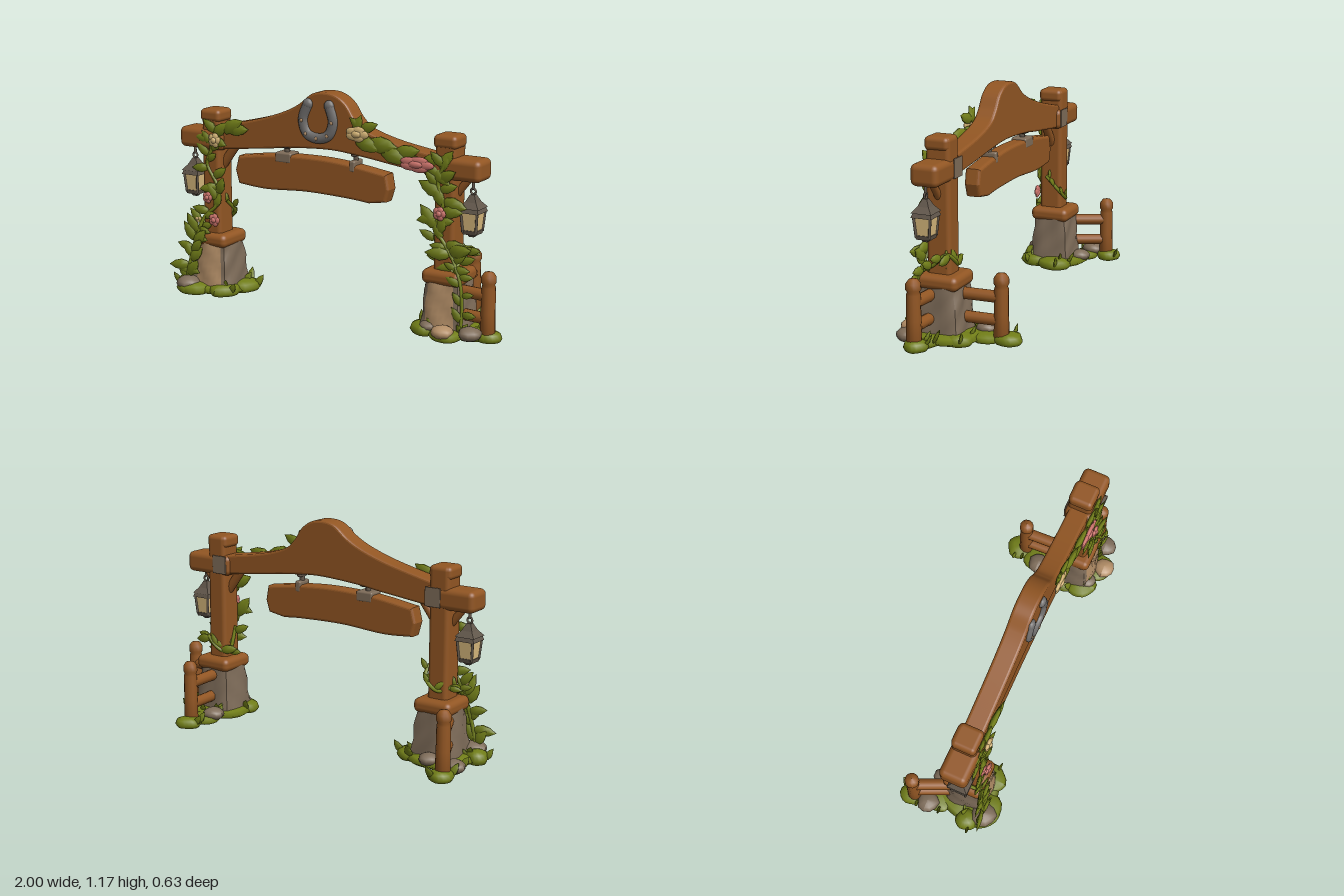
import * as THREE from 'three';
import { RoundedBoxGeometry } from 'three/addons/geometries/RoundedBoxGeometry.js';

const V = (x, y, z) => new THREE.Vector3(x, y, z);
const paint = (name, color) => {
  const m = new THREE.MeshStandardMaterial({ color });
  m.name = name;
  return m;
};

export function createModel() {
  const wood = paint('wood', 0x925623), leafGreen = paint('leaf green', 0x75821a);
  const grass = paint('grass', 0x717e18), stone = paint('stone', 0x7e6c59);
  const tan = paint('tan stone', 0xb38e67), iron = paint('iron', 0x706e6d);
  const dark = paint('lantern metal', 0x62574b), glow = paint('lantern pane', 0xdebe80);
  const pink = paint('pink petal', 0xcf756d), cream = paint('cream petal', 0xd4b476);

  const model = new THREE.Group();
  let seed = 7;
  const rnd = (a, b) => {
    seed = (seed * 16807) % 2147483647;
    return a + (b - a) * seed / 2147483647;
  };
  const group = (name, parent = model) => {
    const g = new THREE.Group();
    g.name = name;
    parent.add(g);
    return g;
  };
  const add = (name, geo, mat, x, y, z, parent = model) => {
    const m = new THREE.Mesh(geo, mat);
    m.name = name;
    m.position.set(x, y, z);
    parent.add(m);
    return m;
  };
  const block = (name, w, h, d, r, mat, x, y, z) =>
    add(name, new RoundedBoxGeometry(w, h, d, 3, r), mat, x, y, z);
  const rod = (name, a, b, r, mat, parent) => {
    const dir = b.clone().sub(a), mid = a.clone().add(b).multiplyScalar(0.5);
    const m = add(name, new THREE.CylinderGeometry(r, r, dir.length(), 12), mat, mid.x, mid.y, mid.z, parent);
    m.quaternion.setFromUnitVectors(V(0, 1, 0), dir.normalize());
  };
  const flat = pts => pts.map(p => new THREE.Vector2(...p));
  const lathe = (pts, n) => new THREE.LatheGeometry(flat(pts), n);

  // Arched beam with bevelled edges
  const arch = new THREE.Shape();
  arch.moveTo(0.7, 0.89);
  arch.splineThru(flat([[0.4, 0.935], [0.22, 0.985], [0.15, 1.04], [0.1, 1.11], [0.04, 1.15], [-0.03, 1.16],
    [-0.1, 1.145], [-0.18, 1.085], [-0.28, 1.035], [-0.45, 0.98], [-0.75, 0.91]]));
  arch.lineTo(-0.75, 0.81);
  arch.splineThru(flat([[-0.4, 0.85], [-0.25, 0.87], [0, 0.885], [0.2, 0.87], [0.4, 0.845], [0.7, 0.81]]));
  add('archedBeam', new THREE.ExtrudeGeometry(arch, {
    depth: 0.08, bevelThickness: 0.014, bevelSize: 0.012, bevelSegments: 3, curveSegments: 40,
  }), wood, 0, 0, 0.064);

  // Hanging board
  const board = new THREE.Shape();
  board.moveTo(-0.57, 0.64);
  board.splineThru(flat([[-0.4, 0.63], [-0.15, 0.645], [0.1, 0.64], [0.23, 0.63]]));
  board.lineTo(0.32, 0.645);
  board.lineTo(0.337, 0.7);
  board.lineTo(0.325, 0.765);
  board.splineThru(flat([[0.1, 0.795], [-0.1, 0.805], [-0.35, 0.795], [-0.57, 0.765]]));
  board.lineTo(-0.587, 0.7);
  add('hangingBoard', new THREE.ExtrudeGeometry(board, {
    depth: 0.05, bevelThickness: 0.018, bevelSize: 0.015, bevelSegments: 4, curveSegments: 16,
  }), wood, 0, 0, 0.075);
  // Board hangers: x, strap width, strap height
  for (const [x, w, h] of [[-0.29, 0.1, 0.055], [0.135, 0.035, 0.06]]) {
    rod('boardHanger', V(x, 0.79, 0.1), V(x, 0.89, 0.1), 0.014, dark);
    block('boardStrap', w, h, 0.09, 0.01, stone, x, 0.799, 0.1);
    block('beamStrap', w * 0.7, 0.02, 0.07, 0.008, dark, x, 0.858, 0.1);
  }

  // Horseshoe, open at the top, with pale studs
  const shoePts = [[-0.12, 1.105], [-0.15, 1.02], [-0.125, 0.95], [-0.06, 0.93], [0.005, 0.95], [0.033, 1.02], [0.01, 1.105]];
  const shoe = group('horseshoe');
  shoe.position.z = 0.16;
  shoe.scale.z = 0.7;
  add('shoeBar', new THREE.TubeGeometry(
    new THREE.CatmullRomCurve3(shoePts.map(p => V(p[0], p[1], 0))), 32, 0.028, 10), iron, 0, 0, 0, shoe);
  for (const i of [0, 6]) add('shoeEnd', new THREE.SphereGeometry(0.03, 10, 8), iron, ...shoePts[i], 0, shoe);
  for (const i of [1, 2, 3, 4, 5]) add('nailStud', new THREE.SphereGeometry(0.01, 6, 5), tan, ...shoePts[i], 0.025, shoe);

  // Bumpy tapered stone plinth with a lighter middle on the front
  const plinth = (x) => {
    const n = 8, g = new THREE.BoxGeometry(1, 1, 1, n, n, n), p = g.attributes.position;
    for (let i = 0; i < p.count; i++) {
      const a = p.getX(i), b = p.getY(i), c = p.getZ(i);
      const k = 0.228 - 0.05 * b - 0.16 * Math.max(0, Math.hypot(a, c) - 0.52)
        + 0.014 * Math.sin(9 * a + 7 * b + x) * Math.cos(8 * c + 5 * b);
      p.setXYZ(i, a * k, b * 0.28, c * k);
    }
    g.computeVertexNormals();
    g.clearGroups();
    const front = 24 * n * n;
    g.addGroup(0, front, 0);
    for (let i = 0; i < n * n; i++) {
      const pale = i % n > 0 && i % n < n - 1;
      g.addGroup(front + i * 6, 6, pale ? 1 : 0);
    }
    g.addGroup(front + 6 * n * n, 6 * n * n, 0);
    add('stonePlinth', g, [stone, tan], x, 0.15, 0.09);
  };

  // Hanging lantern: four panes, corner bars, roof, base and hook
  const lantern = (x) => {
    const g = group('lantern');
    g.position.set(x, 0, 0.12);
    const square = (name, rt, rb, h, y, mat) => {
      const geo = new THREE.CylinderGeometry(rt * Math.SQRT2, rb * Math.SQRT2, h, 4).toNonIndexed();
      geo.computeVertexNormals();
      add(name, geo, mat, 0, y, 0, g).rotation.y = Math.PI / 4;
    };
    square('lanternPanes', 0.045, 0.036, 0.1, 0.595, glow);
    square('lanternBase', 0.041, 0.036, 0.022, 0.545, dark);
    square('lanternFoot', 0.022, 0.012, 0.016, 0.527, dark);
    square('lanternRim', 0.047, 0.055, 0.022, 0.656, dark);
    square('lanternEaves', 0.03, 0.055, 0.03, 0.682, dark);
    square('lanternRoof', 0.012, 0.03, 0.036, 0.715, dark);
    for (const sx of [-1, 1]) for (const sz of [-1, 1])
      rod('lanternBar', V(sx * 0.036, 0.545, sz * 0.036), V(sx * 0.045, 0.65, sz * 0.045), 0.007, dark, g);
    add('lanternRing', new THREE.TorusGeometry(0.014, 0.006, 6, 12), dark, 0, 0.748, 0, g);
    rod('lanternHook', V(0, 0.76, 0), V(0, 0.82, 0), 0.008, dark, g);
  };

  // Round-headed fence post joined to the plinth by two rails
  const fence = (x, z, ax, az) => {
    const g = group('fence');
    add('fencePost', lathe([[0, 0.01], [0.04, 0.01], [0.037, 0.15], [0.036, 0.28], [0.031, 0.292], [0.039, 0.305],
      [0.038, 0.335], [0.024, 0.355], [0, 0.362]], 12), wood, x, 0, z, g);
    rod('fenceRail', V(ax, 0.235, az), V(x, 0.235, z), 0.031, wood, g);
    rod('fenceRail', V(ax, 0.115, az), V(x, 0.115, z), 0.03, wood, g);
  };
  fence(0.925, 0.14, 0.7, 0.12);
  fence(0.67, -0.21, 0.68, 0.03);
  fence(-0.915, -0.165, -0.83, 0.02);

  // Posts, caps, collars, beam ends, braces and joint plates; s is the outer side
  for (const [x, s, lampX, endX] of [[-0.75, -1, -0.885, -0.95], [0.68, 1, 0.82, 0.88]]) {
    block('post', 0.115, 0.74, 0.13, 0.024, wood, x, 0.65, 0.1);
    block('postCap', 0.13, 0.07, 0.132, 0.024, wood, x, 0.985, 0.104);
    block('collar', 0.217, 0.075, 0.222, 0.03, wood, x, 0.298, 0.09);
    block('beamEnd', 0.29, 0.112, 0.15, 0.03, wood, endX - s * 0.145, 0.855, 0.104);
    rod('outerBrace', V(x + s * 0.04, 0.72, 0.1), V(x + s * 0.12, 0.82, 0.1), 0.02, wood);
    rod('innerBrace', V(x - s * 0.04, 0.71, 0.1), V(x - s * 0.13, 0.83, 0.1), 0.025, wood);
    block('jointPlate', 0.09, 0.1, 0.006, 0.002, stone, x - s * 0.03, 0.86, 0.029);
    plinth(x);
    lantern(lampX);
  }

  // Uneven grass mounds and rocks: x, z, radius, height
  const wobble = (geo, amount) => {
    const p = geo.attributes.position, ph = rnd(0, 6);
    for (let i = 0; i < p.count; i++) {
      const t = Math.atan2(p.getZ(i), p.getX(i));
      const k = 1 + amount * (Math.sin(3 * t + ph) + 0.6 * Math.sin(5 * t + 2 * ph));
      p.setXYZ(i, p.getX(i) * k, p.getY(i), p.getZ(i) * k);
    }
    geo.computeVertexNormals();
    return geo;
  };
  const mounds = [[-0.76, 0.08, 0.18, 0.05], [-0.84, 0.205, 0.105, 0.055], [-0.915, -0.18, 0.068, 0.05],
    [-0.88, -0.04, 0.08, 0.04], [-0.63, 0.04, 0.095, 0.055], [-0.67, 0.17, 0.09, 0.055], [-0.93, 0.15, 0.06, 0.065],
    [0.69, 0.07, 0.18, 0.05], [0.66, -0.245, 0.072, 0.05], [0.65, -0.12, 0.09, 0.04], [0.76, -0.02, 0.08, 0.05],
    [0.595, 0.17, 0.085, 0.055], [0.73, 0.21, 0.09, 0.045], [0.93, 0.13, 0.063, 0.05], [0.84, 0.13, 0.085, 0.045]];
  for (const [x, z, r, h] of mounds)
    add('grassMound', wobble(lathe([[0, 0], [r * 0.85, 0], [r, h * 0.35], [r * 0.88, h * 0.8], [r * 0.5, h], [0, h * 1.05]],
      18), 0.05), grass, x, 0, z);
  const rocks = [[-0.87, 0.225, 0.07, stone], [-0.93, -0.08, 0.06, stone], [-0.77, -0.06, 0.055, stone],
    [0.6, -0.1, 0.06, stone], [0.86, 0.21, 0.06, stone], [0.73, 0.255, 0.058, tan], [0.62, 0.2, 0.045, stone]];
  for (const [x, z, r, mat] of rocks)
    add('rock', wobble(new THREE.SphereGeometry(r, 10, 8), 0.05), mat, x, 0.045, z).scale.y = 0.6;

  // Pointed leaf growing from its base; roll is measured in the front plane
  const leafGeo = lathe([[0, 0], [0.18, 0.12], [0.27, 0.4], [0.2, 0.7], [0, 1]], 6);
  const leaf = (x, y, z, len, roll, tilt, parent, mat = leafGreen) => {
    const m = add('leaf', leafGeo, mat, x, y, z, parent);
    m.scale.set(len, len, len * 0.4);
    m.rotation.set(tilt, 0, roll, 'ZXY');
  };
  for (const [x, z, r] of mounds) {
    for (let i = 0; i < 2; i++) {
      const a = rnd(0, 6.28);
      leaf(x + Math.cos(a) * r * 0.7, 0.015, z + Math.sin(a) * r * 0.7, rnd(0.07, 0.1),
        -Math.cos(a) * 0.6, Math.sin(a) * 0.5, model, grass);
    }
  }

  // Vines: a stem along a curve with leaves spreading to both sides
  const vine = (pts, count, size) => {
    const g = group('vine'), curve = new THREE.CatmullRomCurve3(pts.map(p => V(...p)));
    add('stem', new THREE.TubeGeometry(curve, 40, 0.01, 6), leafGreen, 0, 0, 0, g);
    for (let i = 0; i < count; i++) {
      const p = curve.getPoint((i + 0.5) / count);
      leaf(p.x, p.y, p.z, rnd(0.8, 1.25) * size, (i % 2 ? 1 : -1) * rnd(0.4, 1.8), rnd(0, 0.2), g);
    }
  };
  // Outer climbers from the ground, then the runs up each post and around the collars
  vine([[-0.89, 0.04, 0.215], [-0.87, 0.13, 0.22], [-0.845, 0.24, 0.21], [-0.82, 0.34, 0.195]], 14, 0.105);
  vine([[-0.82, 0.34, 0.195], [-0.79, 0.42, 0.175], [-0.71, 0.5, 0.168], [-0.705, 0.6, 0.165], [-0.77, 0.72, 0.165],
    [-0.74, 0.8, 0.17], [-0.73, 0.88, 0.18]], 15, 0.095);
  vine([[0.8, 0.03, 0.2], [0.805, 0.15, 0.19], [0.79, 0.3, 0.19], [0.74, 0.4, 0.17]], 9, 0.085);
  vine([[0.74, 0.4, 0.17], [0.7, 0.46, 0.168], [0.64, 0.56, 0.168], [0.68, 0.68, 0.168], [0.65, 0.78, 0.17],
    [0.69, 0.88, 0.18]], 20, 0.12);
  vine([[0.74, 0.34, 0.19], [0.755, 0.38, 0.12], [0.75, 0.44, 0.05], [0.68, 0.39, 0.03], [0.62, 0.36, 0.06],
    [0.61, 0.5, 0.12]], 14, 0.09);
  vine([[-0.82, 0.34, 0.18], [-0.825, 0.4, 0.1], [-0.76, 0.38, 0.03], [-0.68, 0.44, 0.04], [-0.68, 0.52, 0.12]], 10, 0.08);

  // Larger leaves lying along the beam: x, y, length, roll
  const beamLeaves = [[-0.72, 0.88, 0.13, -0.9], [-0.66, 0.91, 0.16, -1.1], [-0.62, 0.92, 0.14, -1.45], [-0.7, 0.9, 0.11, 0.9],
    [-0.74, 0.86, 0.1, 1.5], [0.22, 1.0, 0.1, 0.9], [0.17, 0.98, 0.11, -0.4], [0.2, 1.0, 0.12, -1.2], [0.17, 0.955, 0.17, -1.85],
    [0.25, 0.94, 0.18, -1.6], [0.32, 0.92, 0.18, -1.9], [0.4, 0.9, 0.16, -1.35], [0.46, 0.88, 0.15, -1.8],
    [0.56, 0.87, 0.13, -1.2], [0.62, 0.85, 0.13, -2.2], [0.66, 0.86, 0.12, -0.7]];
  const spray = group('beamLeaves');
  for (const [x, y, l, roll] of beamLeaves) leaf(x, y, 0.17, l, roll, 0.08, spray);

  // Flowers: five petals around a full centre
  const flower = (x, y, z, r, mat, stretch = 1) => {
    const g = group('flower');
    g.position.set(x, y, z);
    g.scale.set(stretch, 1, 0.8);
    for (let i = 0; i < 5; i++) {
      const a = i * Math.PI * 0.4;
      add('petal', new THREE.SphereGeometry(r * 0.6, 8, 6), mat, Math.cos(a) * r * 0.5, Math.sin(a) * r * 0.5, 0, g).scale.z = 0.6;
    }
    add('flowerCentre', new THREE.SphereGeometry(r * 0.5, 8, 6), mat, 0, 0, r * 0.15, g);
  };
  flower(-0.76, 0.535, 0.185, 0.03, pink);
  flower(-0.715, 0.415, 0.188, 0.034, pink);
  flower(0.67, 0.63, 0.19, 0.034, pink);
  flower(0.54, 0.865, 0.195, 0.038, pink, 2.4);
  flower(-0.7, 0.86, 0.192, 0.038, cream);
  flower(0.19, 0.98, 0.185, 0.038, cream, 1.7);
  flower(-0.83, 0.41, 0.185, 0.024, cream);
  return model;
}
